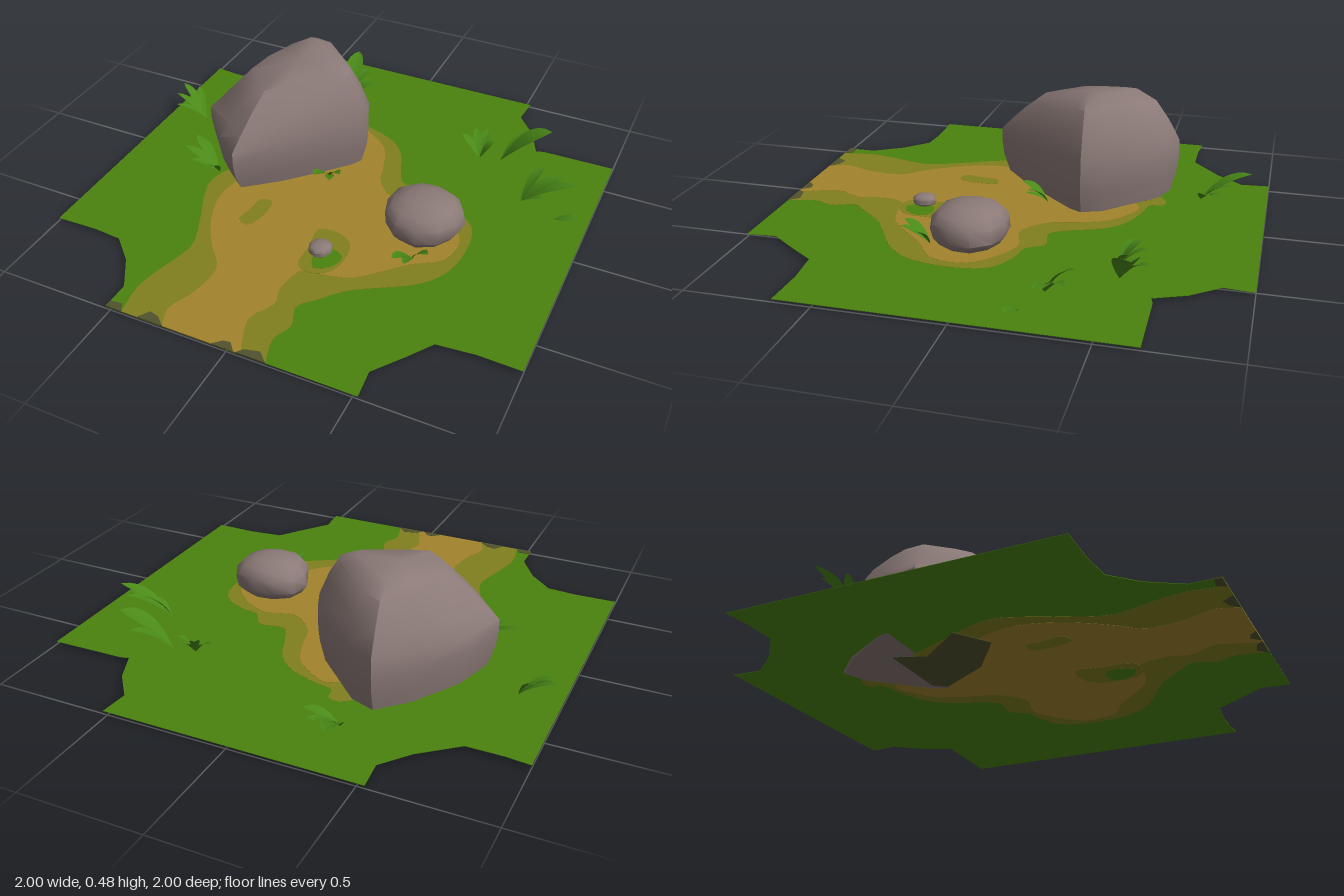
import * as THREE from 'three';
import { toCreasedNormals } from 'three/addons/utils/BufferGeometryUtils.js';

const material = (name, color, side = THREE.FrontSide) => {
  const m = new THREE.MeshStandardMaterial({ color, side });
  m.name = name;
  return m;
};

const GROUND_Y = 0.011;

// Flat ground layer: a thin slab centred on GROUND_Y, seen from above and below.
function slab(name, outline, thickness, mat) {
  const shape = new THREE.Shape(outline.map(([x, z]) => new THREE.Vector2(x, -z)));
  const geo = new THREE.ExtrudeGeometry(shape, { depth: thickness, bevelEnabled: false });
  geo.rotateX(-Math.PI / 2).translate(0, GROUND_Y - thickness / 2, 0);
  const mesh = new THREE.Mesh(geo, mat);
  mesh.name = name;
  return mesh;
}

// Smooth outline through a few points; an open one is closed by a straight edge.
function smooth(points, closed = false) {
  const pts = points.map(([x, z]) => new THREE.Vector3(x, 0, z));
  const out = new THREE.CatmullRomCurve3(pts, closed, 'centripetal').getPoints(points.length * 3);
  if (closed) out.pop();
  return out.map((p) => [p.x, Math.min(p.z, 1)]);
}

// Boulder: one plan outline, scaled towards the centre and tilted on each level.
function boulderGeometry() {
  const cx = -0.33, cz = -0.23;
  const plan = [[-0.38, -0.61], [-0.27, -0.57], [-0.04, -0.345], [0, -0.25], [-0.03, -0.195], [-0.27, 0.07],
    [-0.42, 0.2], [-0.53, 0.11], [-0.69, -0.08], [-0.63, -0.28], [-0.5, -0.49]];
  // scale, height, tilt along x, tilt along z
  const levels = [[0, 0.01, 0, 0.03], [0.91, 0.01, 0, 0.03], [0.98, 0.1, 0, 0], [1, 0.16, 0, 0],
    [1, 0.24, 0.06, -0.03], [0.87, 0.32, 0.14, -0.08], [0.72, 0.395, 0.2, -0.13],
    [0.5, 0.452, 0.13, -0.13], [0, 0.462, 0, 0]];
  const n = plan.length, pos = [], index = [];
  for (const [s, y, tx, tz] of levels) {
    for (const [px, pz] of plan) {
      const dx = (px - cx) * s, dz = (pz - cz) * s;
      pos.push(cx + dx, y + tx * dx + tz * dz, cz + dz);
    }
  }
  for (let r = 0; r < levels.length - 1; r++) {
    for (let i = 0; i < n; i++) {
      const j = (i + 1) % n, a = r * n + i, b = r * n + j, c = a + n, d = b + n;
      if (r > 0) index.push(a, c, b);
      if (r < levels.length - 2) index.push(b, c, d);
    }
  }
  const geo = new THREE.BufferGeometry();
  geo.setAttribute('position', new THREE.Float32BufferAttribute(pos, 3));
  geo.setIndex(index);
  return toCreasedNormals(geo, 0.75);
}

// Rounded stone: a coarse sphere, squared off a little and made uneven.
function stoneGeometry(rx, ry, rz, segments, rough) {
  const geo = new THREE.SphereGeometry(1, segments, 7);
  const p = geo.attributes.position, v = new THREE.Vector3();
  for (let i = 0; i < p.count; i++) {
    v.fromBufferAttribute(p, i);
    const wobble = 1 + rough * Math.sin(3.1 * v.x + 1.3) * Math.sin(2.7 * v.z + 0.6 + 2 * v.y);
    const flat = Math.sign(v.y) * Math.pow(Math.abs(v.y), 0.8);
    p.setXYZ(i, v.x * rx * wobble, flat * ry, v.z * rz * wobble);
  }
  return toCreasedNormals(geo, 0.9);
}

// Leaf: a creased blade along an arching curve, widest past the middle.
function leafGeometry(base, tip, width) {
  const a = new THREE.Vector3(...base), c = new THREE.Vector3(...tip);
  const mid = a.clone().lerp(c, 0.45).setY(a.y + (c.y - a.y) * 0.85);
  const curve = new THREE.QuadraticBezierCurve3(a, mid, c);
  const across = new THREE.Vector3(c.z - a.z, 0, a.x - c.x).normalize();
  const steps = 8, pos = [], index = [];
  for (let i = 0; i <= steps; i++) {
    const t = i / steps, p = curve.getPoint(t);
    const half = 0.5 * width * Math.pow(Math.sin(Math.PI * Math.pow(t, 1.15)), 0.75) || 0;
    for (const k of [-1, 0, 1]) {
      pos.push(p.x + across.x * half * k, p.y + Math.abs(k) * half * 0.25, p.z + across.z * half * k);
    }
    if (i < steps) {
      for (const k of [0, 1]) {
        const q = i * 3 + k;
        index.push(q, q + 1, q + 3, q + 1, q + 4, q + 3);
      }
    }
  }
  const geo = new THREE.BufferGeometry();
  geo.setAttribute('position', new THREE.Float32BufferAttribute(pos, 3));
  geo.setIndex(index);
  geo.computeVertexNormals();
  return geo;
}

export function createModel() {
  const model = new THREE.Group();
  model.name = 'rockyPath';
  const grass = material('grass', 0x4a830f);
  const worn = material('wornGrass', 0x82801f);
  const dirt = material('dirt', 0xa3832d);
  const moss = material('darkSoil', 0x50522d);
  const rock = material('rock', 0x8b7a77);
  const leaf = material('leaf', 0x4a8a18, THREE.DoubleSide);

  // Ground tile with cut corners
  model.add(slab('grassGround', [[-0.53, -1], [0.52, -1], [0.51, -0.88], [0.6, -0.77], [0.655, -0.645],
    [0.69, -0.655], [1, -0.66], [1, 0.65], [0.82, 0.645], [0.67, 0.66], [0.6, 0.76], [0.51, 0.88], [0.52, 1],
    [-0.52, 1], [-0.52, 0.88], [-0.6, 0.75], [-0.7, 0.655], [-0.82, 0.645], [-1, 0.65], [-1, -0.66],
    [-0.9, -0.65], [-0.755, -0.65], [-0.61, -0.77], [-0.52, -0.88]], 0.002, grass));

  // Path: a worn border with bare dirt inside
  model.add(slab('wornBorder', smooth([[-0.45, 1], [-0.47, 0.86], [-0.45, 0.75], [-0.42, 0.64], [-0.41, 0.56],
    [-0.47, 0.4], [-0.53, 0.27], [-0.56, 0.16], [-0.5, -0.02], [-0.4, -0.25], [-0.32, -0.5], [-0.24, -0.58],
    [-0.19, -0.57], [-0.18, -0.52], [-0.1, -0.5], [0.03, -0.45], [0.11, -0.37], [0.16, -0.25], [0.21, -0.17],
    [0.32, -0.18], [0.37, -0.11], [0.46, -0.09], [0.57, -0.02], [0.6, 0.14], [0.57, 0.3], [0.49, 0.4],
    [0.38, 0.47], [0.27, 0.54], [0.18, 0.64], [0.13, 0.7], [0.16, 0.8], [0.13, 0.88], [0.16, 1]]), 0.0035, worn));
  model.add(slab('dirtPath', smooth([[-0.27, 1], [-0.3, 0.91], [-0.26, 0.8], [-0.25, 0.64], [-0.33, 0.54],
    [-0.42, 0.4], [-0.47, 0.24], [-0.45, 0.1], [-0.36, -0.1], [-0.28, -0.35], [-0.14, -0.48], [-0.05, -0.44],
    [0.03, -0.37], [0.08, -0.24], [0.11, -0.14], [0.22, -0.05], [0.35, -0.08], [0.47, -0.02], [0.555, 0.08],
    [0.54, 0.22], [0.43, 0.3], [0.33, 0.4], [0.25, 0.47], [0.14, 0.5], [0.06, 0.51], [0.03, 0.64], [0.05, 0.72],
    [0, 0.83], [0.06, 1]]), 0.005, dirt));
  for (const spot of [
    [[-0.3, 0.19], [-0.25, 0.18], [-0.24, 0.28], [-0.27, 0.36], [-0.32, 0.34], [-0.31, 0.27]],
    [[0.01, 0.26], [0.1, 0.25], [0.17, 0.3], [0.17, 0.46], [0.1, 0.51], [0.03, 0.49], [0.02, 0.38]],
  ]) model.add(slab('wornSpot', smooth(spot, true), 0.0065, worn));
  model.add(slab('grassSpot', smooth([[0.06, 0.38], [0.12, 0.35], [0.17, 0.38], [0.15, 0.45], [0.09, 0.48]], true),
    0.008, grass));

  // Dark soil along the front edge and under the boulder
  for (const edge of [
    [[-0.52, 1], [-0.52, 0.97], [-0.47, 0.965], [-0.45, 1]],
    [[-0.38, 1], [-0.35, 0.955], [-0.31, 0.965], [-0.27, 1]],
    [[-0.06, 1], [-0.03, 0.97], [0, 0.965], [0.03, 1]],
    [[0.04, 1], [0.06, 0.975], [0.12, 0.96], [0.16, 1]],
  ]) model.add(slab('soilEdge', edge, 0.007, moss));
  model.add(slab('soilUnderBoulder', [[-0.06, -0.28], [-0.23, -0.5], [-0.45, -0.41], [-0.37, -0.2], [-0.52, -0.01],
    [-0.38, 0.08], [-0.19, -0.06]], 0.008, moss));

  // Rocks
  const addRock = (name, geo, x = 0, y = 0, z = 0) => {
    const mesh = new THREE.Mesh(geo, rock);
    mesh.name = name;
    mesh.position.set(x, y, z);
    model.add(mesh);
  };
  addRock('boulder', boulderGeometry());
  addRock('roundRock', stoneGeometry(0.17, 0.093, 0.16, 11, 0.07), 0.4, 0.107, 0.1);
  addRock('pebble', stoneGeometry(0.05, 0.025, 0.053, 8, 0.04), 0.085, 0.05, 0.4);

  // Plants: base x, z, then leaves as tip x, y, z, width
  const plants = [
    [-0.31, -0.72, [[-0.35, 0.13, -0.93, 0.08], [-0.26, 0.1, -0.85, 0.045], [-0.18, 0.08, -0.76, 0.055], [-0.22, 0.07, -0.81, 0.045]]],
    [-0.83, -0.25, [[-0.98, 0.13, -0.31, 0.04], [-0.99, 0.1, -0.26, 0.035], [-0.95, 0.09, -0.19, 0.035], [-0.91, 0.12, -0.33, 0.03]]],
    [-0.56, 0.09, [[-0.71, 0.12, 0.02, 0.05], [-0.73, 0.1, 0.09, 0.045], [-0.66, 0.09, 0.16, 0.04], [-0.55, 0.1, 0.18, 0.045]]],
    [-0.11, -0.09, [[-0.13, 0.09, 0.03, 0.055], [-0.03, 0.09, -0.02, 0.045], [-0.07, 0.06, 0, 0.04]]],
    [0.44, -0.49, [[0.34, 0.09, -0.53, 0.04], [0.39, 0.11, -0.57, 0.04], [0.44, 0.1, -0.6, 0.04], [0.49, 0.09, -0.53, 0.04]]],
    [0.53, -0.51, [[0.73, 0.18, -0.58, 0.1], [0.65, 0.13, -0.63, 0.06]]],
    [0.7, -0.27, [[0.92, 0.135, -0.31, 0.065], [0.85, 0.12, -0.37, 0.055], [0.76, 0.14, -0.39, 0.045], [0.8, 0.07, -0.25, 0.04]]],
    [0.86, -0.21, [[0.96, 0.05, -0.19, 0.05]]],
    [0.42, 0.26, [[0.38, 0.09, 0.38, 0.05], [0.43, 0.08, 0.38, 0.045], [0.5, 0.09, 0.3, 0.045]]],
  ];
  for (const [x, z, leaves] of plants) {
    const plant = new THREE.Group();
    plant.name = 'plant';
    for (const [tx, ty, tz, width] of leaves) {
      const mesh = new THREE.Mesh(leafGeometry([x, GROUND_Y, z], [tx, ty, tz], width), leaf);
      mesh.name = 'leaf';
      plant.add(mesh);
    }
    model.add(plant);
  }
  return model;
}
